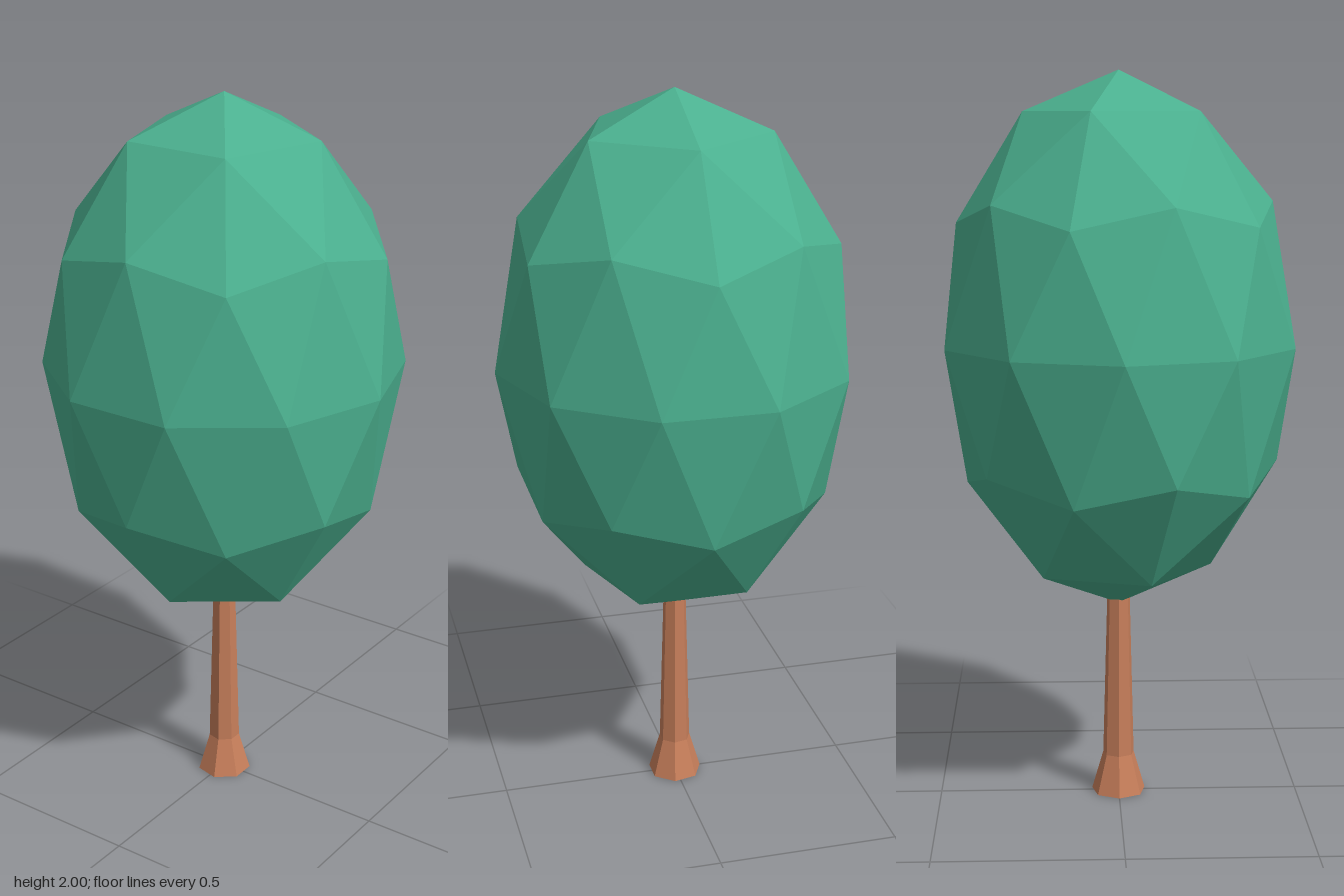
import * as THREE from 'three';

// Faceted ball with a corner at each pole: an icosahedron split once
function poleIcosphere() {
  const corners = [0, 1, 0];
  const faces = [];
  const ring = (y, turn) => {
    for (let k = 0; k < 5; k++) {
      const a = (k * 2 * Math.PI) / 5 + turn;
      corners.push(Math.cos(a) * 0.8944, y, Math.sin(a) * 0.8944);
    }
  };
  ring(0.4472, 0);
  ring(-0.4472, Math.PI / 5);
  corners.push(0, -1, 0);
  for (let k = 0; k < 5; k++) {
    const n = (k + 1) % 5;
    const up = 1 + k, upNext = 1 + n, low = 6 + k, lowNext = 6 + n;
    faces.push(0, upNext, up, up, upNext, low, lowNext, low, upNext, low, lowNext, 11);
  }
  return new THREE.PolyhedronGeometry(corners, faces, 1, 1);
}

export function createModel() {
  const tree = new THREE.Group();
  tree.name = 'tree';

  // Tall egg-shaped crown of leaves
  const crownGeometry = poleIcosphere();
  crownGeometry.scale(0.487, 0.727, 0.487);
  crownGeometry.translate(0, 1.273, 0);
  crownGeometry.computeVertexNormals();
  const crown = new THREE.Mesh(
    crownGeometry,
    new THREE.MeshStandardMaterial({ color: 0x4bb08f, flatShading: true })
  );
  crown.name = 'crown';
  tree.add(crown);

  // Seven-sided trunk with a flared, closed foot
  const profile = [[0, 0], [0.076, 0], [0.044, 0.11], [0.032, 0.57]]
    .map(([r, y]) => new THREE.Vector2(r, y));
  const trunk = new THREE.Mesh(
    new THREE.LatheGeometry(profile, 7, Math.PI),
    new THREE.MeshStandardMaterial({ color: 0xc87f5b, flatShading: true })
  );
  trunk.name = 'trunk';
  tree.add(trunk);

  return tree;
}
